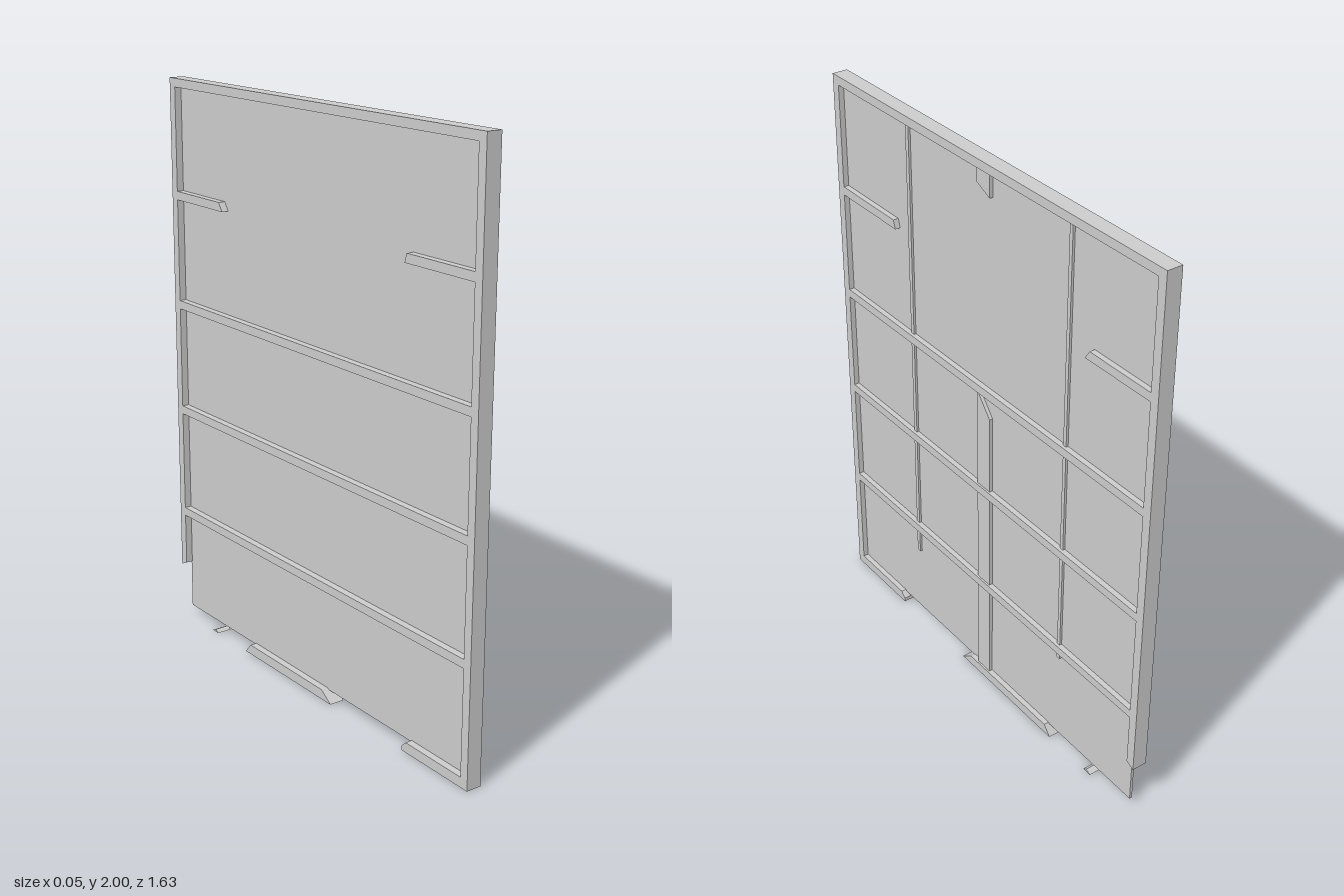
import * as THREE from 'three';

const material = new THREE.MeshStandardMaterial({ color: 0xcccccc, flatShading: true });
const D = 0.027; // half the depth of the frame

export function createModel() {
  const group = new THREE.Group();

  // Extrudes an outline of [z, y] points between two x positions
  const slab = (name, outline, x0 = -D, x1 = D) => {
    const shape = new THREE.Shape(outline.map(([z, y]) => new THREE.Vector2(z, y)));
    const geometry = new THREE.ExtrudeGeometry(shape, { depth: x1 - x0, bevelEnabled: false });
    geometry.rotateY(-Math.PI / 2).translate(x1, 0, 0);
    const mesh = new THREE.Mesh(geometry, material);
    mesh.name = name;
    group.add(mesh);
  };
  const bar = (name, z0, z1, y0, y1, x0, x1) =>
    slab(name, [[z0, y0], [z1, y0], [z1, y1], [z0, y1]], x0, x1);

  // Thin sheet set in the middle of the frame
  bar('panel', -0.79, 0.79, 0.03, 1.98, -0.002, 0.008);

  // Outer frame; the lower end of one side is broken away
  bar('topRail', -0.817, 0.817, 1.97, 2);
  bar('leftStile', 0.785, 0.817, 0, 1.97);
  slab('brokenStile', [[-0.785, 0.21], [-0.785, 1.97], [-0.817, 1.97], [-0.817, 0.195]]);

  // Remains of the bottom rail
  slab('bottomRailEnd', [[0.785, 0], [0.5, 0], [0.5, 0.015], [0.52, 0.035], [0.785, 0.035]]);
  slab('bottomRailMiddle', [[0.12, 0], [-0.39, 0], [-0.36, 0.035], [0.07, 0.035]]);
  slab('bottomRailChip', [[-0.575, 0], [-0.61, 0], [-0.59, 0.01]]);

  // Full-width rails and the two broken ones above them
  for (const y of [0.4, 0.795, 1.188]) bar('crossRail', -0.785, 0.785, y, y + 0.03);
  slab('brokenRailLeft', [[0.785, 1.58], [0.475, 1.58], [0.485, 1.61], [0.785, 1.61]]);
  slab('brokenRailRight', [[-0.785, 1.58], [-0.5, 1.58], [-0.52, 1.61], [-0.785, 1.61]]);

  // Narrow upright battens on one face
  bar('battenLeft', 0.4, 0.416, 0.3, 1.97, 0.007, 0.016);
  bar('battenRight', -0.416, -0.402, 0.37, 1.97, 0.007, 0.016);

  // Central post, snapped between its lower part and a stump under the top rail
  slab('centrePost', [[0.035, 0.035], [-0.032, 0.035], [-0.032, 1.11], [0.035, 1.19]], 0.007, 0.02);
  slab('centrePostStump', [[0.035, 1.92], [-0.032, 1.89], [-0.032, 1.97], [0.035, 1.97]], 0.007, 0.02);

  return group;
}
